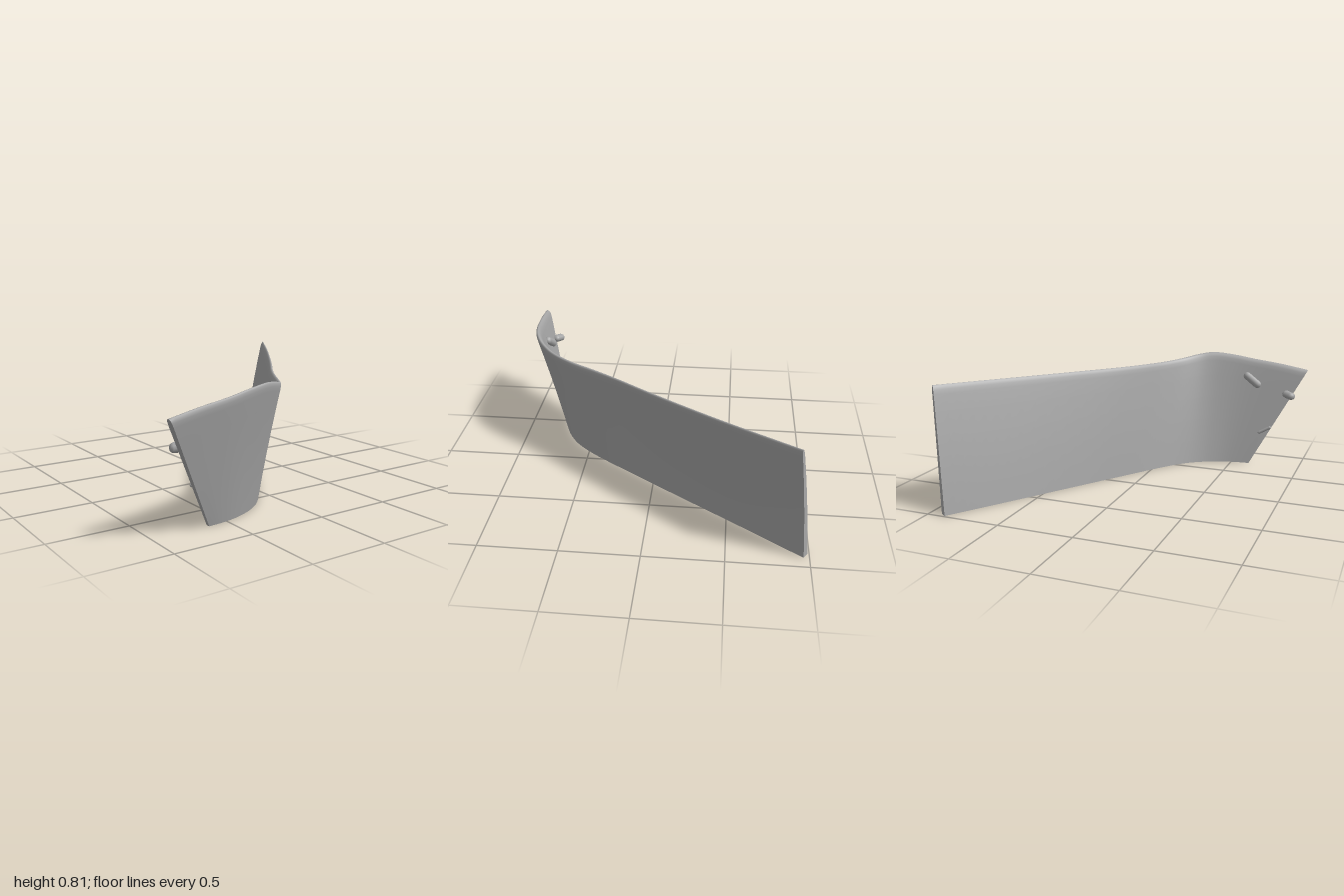
import * as THREE from 'three';

const STEPS = 72;

// Matched stations along the panel: [topX, topZ, height, bottomX, bottomZ] of the outer face
const stations = [
  [-1.0, 0.985, 0.70, -0.63, 0.76], [-0.8, 0.967, 0.737, -0.55, 0.753],
  [-0.6, 0.945, 0.766, -0.46, 0.737], [-0.45, 0.92, 0.792, -0.38, 0.712],
  [-0.3, 0.88, 0.808, -0.28, 0.665], [-0.2, 0.828, 0.796, -0.18, 0.595],
  [-0.1, 0.735, 0.774, -0.08, 0.488], [0, 0.595, 0.762, 0.02, 0.355],
  [0.1, 0.43, 0.762, 0.12, 0.21], [0.2, 0.275, 0.764, 0.22, 0.065],
  [0.4, 0, 0.77, 0.40, -0.20], [0.7, -0.43, 0.783, 0.67, -0.60],
  [0.992, -0.878, 0.80, 0.92, -0.965],
];
const topCurve = new THREE.CatmullRomCurve3(stations.map(s => new THREE.Vector3(s[0], s[2], s[1])));
const bottomCurve = new THREE.CatmullRomCurve3(stations.map(s => new THREE.Vector3(s[3], 0, s[4])));

// Cross-section: [height fraction, depth fraction] up the outer face, over the lip, down the inner face
const outer = [[0, 0], [0.2, 0], [0.4, 0], [0.6, 0], [0.8, 0], [0.93, 0], [0.965, 0.04], [0.988, 0.16], [0.998, 0.34]];
const section = [...outer, [1, 0.5], ...outer.map(([t, d]) => [t, 1 - d]).reverse()];

function ring(u) {
  const top = topCurve.getPoint(u), bottom = bottomCurve.getPoint(u);
  const along = topCurve.getTangent(u).setY(0).normalize()
    .add(bottomCurve.getTangent(u).setY(0).normalize()).normalize();
  const inward = new THREE.Vector3(along.z, 0, -along.x);
  const flare = 0.3 * u;
  return section.map(([t, d]) => {
    const lean = t * (1 - flare + flare * t);
    const thick = THREE.MathUtils.lerp(
      THREE.MathUtils.lerp(0.022, 0.045, u), THREE.MathUtils.lerp(0.045, 0.022, u), t);
    const p = bottom.clone().lerp(top, lean);
    p.y = top.y * t;
    return p.addScaledVector(inward, d * thick);
  });
}

// Grid of points to an indexed surface
function surface(rows, flip = false) {
  const n = rows[0].length, index = [];
  for (let i = 0; i < rows.length - 1; i++) {
    for (let j = 0; j < n - 1; j++) {
      const a = i * n + j, b = a + n, c = b + 1, d = a + 1;
      if (flip) index.push(a, c, b, a, d, c);
      else index.push(a, b, c, a, c, d);
    }
  }
  const g = new THREE.BufferGeometry().setFromPoints(rows.flat());
  g.setIndex(index);
  g.computeVertexNormals();
  return g;
}

export function createModel() {
  const model = new THREE.Group();
  model.name = 'curvedPanel';
  const grey = new THREE.MeshStandardMaterial({ color: 0xa6a6a6 });
  grey.name = 'grey';

  const add = (name, geometry) => {
    const mesh = new THREE.Mesh(geometry, grey);
    mesh.name = name;
    model.add(mesh);
    return mesh;
  };

  const rings = [];
  for (let i = 0; i <= STEPS; i++) rings.push(ring(i / STEPS));
  const last = section.length - 1, half = last / 2;

  // Outer face, rounded lip and inner face
  add('panelSkin', surface(rings));
  // Flat lower edge
  add('bottomEdge', surface(rings.map(r => [r[last], r[0]])));
  // Flat end edges
  const edge = r => [r.slice(0, half + 1), r.slice(half).reverse()];
  add('shortEndEdge', surface(edge(rings[0]), true));
  add('longEndEdge', surface(edge(rings[STEPS])));

  // Small fixing tabs on the inner face of the short wing
  const tabs = [
    { at: [-0.61, 0.615, 0.855], radius: 0.028, length: 0.1, turn: -0.95, yaw: 0, depth: 0.9 },
    { at: [-0.885, 0.52, 0.862], radius: 0.028, length: 0.045, turn: -1.4, yaw: 0.5, depth: 1.2 },
    { at: [-0.73, 0.255, 0.792], radius: 0.011, length: 0.085, turn: 1.05, yaw: 0, depth: 1.0 },
  ];
  tabs.forEach(({ at, radius, length, turn, yaw, depth }, i) => {
    const geometry = new THREE.CapsuleGeometry(radius, length, 4, 10);
    geometry.rotateZ(turn).scale(1, 1, depth).rotateX(0.25).rotateY(-yaw);
    add('fixingTab' + (i + 1), geometry).position.set(...at);
  });
  return model;
}
